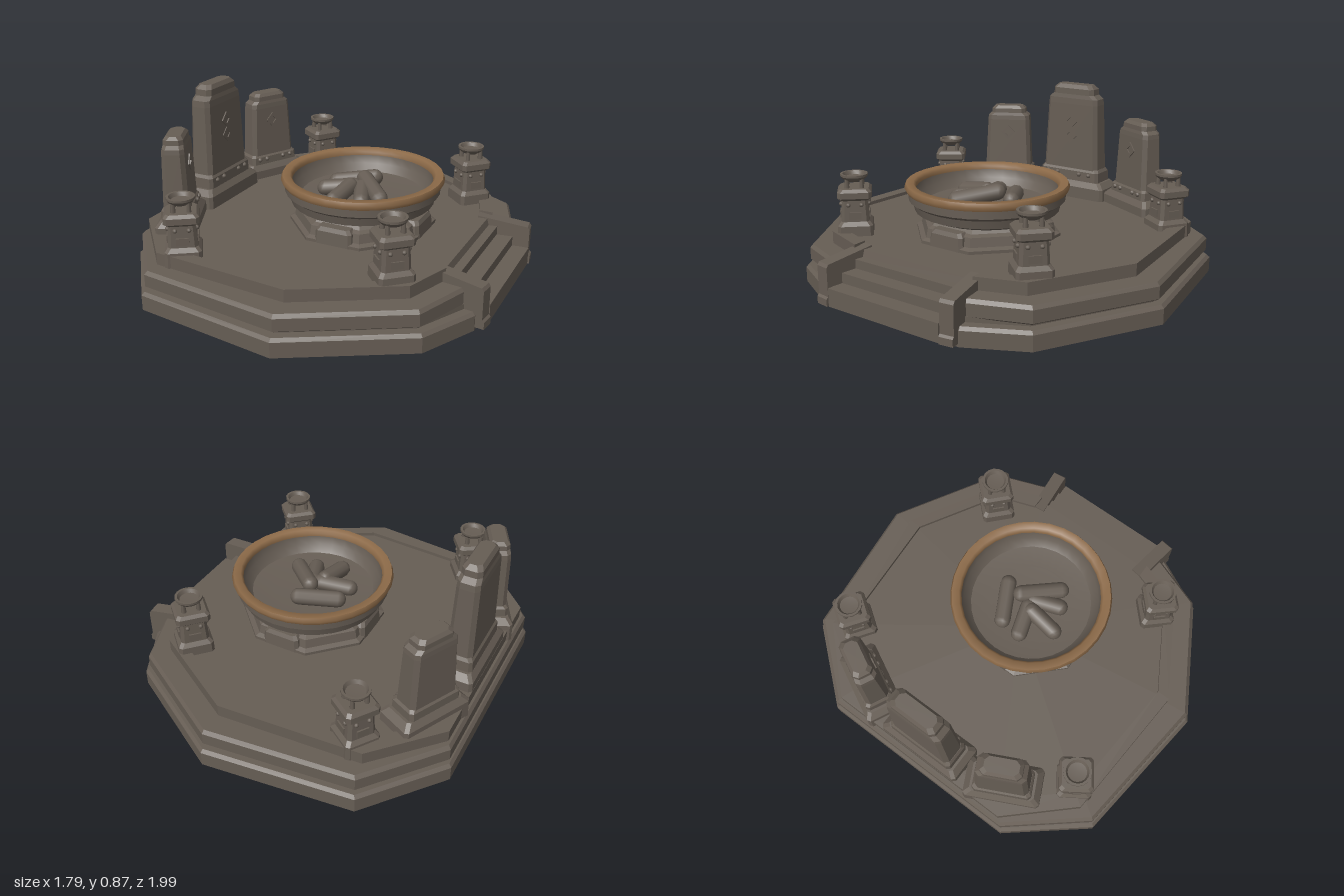
import * as THREE from 'three';
import { toCreasedNormals } from 'three/addons/utils/BufferGeometryUtils.js';

const stone = new THREE.MeshStandardMaterial({ color: 0x665d54 });
stone.name = 'stone';
const bronze = new THREE.MeshStandardMaterial({ color: 0x8c6a48 });
bronze.name = 'bronze';

function add(parent, name, geometry, x = 0, y = 0, z = 0, material = stone) {
  const mesh = new THREE.Mesh(geometry, material);
  mesh.name = name;
  mesh.position.set(x, y, z);
  parent.add(mesh);
  return mesh;
}

function group(parent, name, x, y, z, yaw = 0) {
  const g = new THREE.Group();
  g.name = name;
  g.position.set(x, y, z);
  g.rotation.y = yaw;
  parent.add(g);
  return g;
}

// Flat-faced solid through stacked rings of [x, y, z], closed at both ends
function loft(rings) {
  const pos = [];
  const tri = (a, b, c) => pos.push(...a, ...b, ...c);
  const n = rings[0].length;
  const top = rings[rings.length - 1];
  for (let i = 0; i < n; i++) {
    const j = (i + 1) % n;
    for (let k = 0; k < rings.length - 1; k++) {
      const a = rings[k], b = rings[k + 1];
      tri(a[i], a[j], b[j]);
      tri(a[i], b[j], b[i]);
    }
    tri([0, rings[0][0][1], 0], rings[0][j], rings[0][i]);
    tri([0, top[0][1], 0], top[i], top[j]);
  }
  const g = new THREE.BufferGeometry();
  g.setAttribute('position', new THREE.Float32BufferAttribute(pos, 3));
  g.computeVertexNormals();
  return g;
}

// Half outlines run left to right along +z and are mirrored to -z
const mirrored = half => [...half, ...half.slice().reverse().map(([x, z]) => [x, -z])];
const slab = (half, levels) =>
  loft(levels.map(([y, s]) => mirrored(half).map(([x, z]) => [x * s, y, z * s])));

// Block with chamfered upright corners, levels are [y, half width, half depth]
function block(levels, c = 0.015) {
  return loft(levels.map(([y, w, d]) => [
    [-w, d - c], [-w + c, d], [w - c, d], [w, d - c],
    [w, -d + c], [w - c, -d], [-w + c, -d], [-w, -d + c],
  ].map(([x, z]) => [x, y, z])));
}

const lathe = (points, segments, crease = 0.6) => toCreasedNormals(
  new THREE.LatheGeometry(points.map(p => new THREE.Vector2(...p)), segments), crease);

function shapeOf(points) {
  return new THREE.Shape(points.map(p => new THREE.Vector2(...p)));
}

function buildPlatform(root) {
  const base = [[-0.9, 0.54], [-0.6, 0.905], [0.14, 0.995], [0.7, 0.675], [0.84, 0.4]];
  const middle = [[-0.885, 0.53], [-0.59, 0.885], [0.14, 0.97], [0.68, 0.66], [0.78, 0.39], [0.66, 0.3]];
  const upper = [[-0.86, 0.5], [-0.58, 0.8], [0.13, 0.85], [0.6, 0.58], [0.68, 0.35]];
  const inner = [[-0.78, 0.47], [-0.54, 0.735], [0.13, 0.785], [0.54, 0.55], [0.61, 0.35]];
  add(root, 'baseTier', slab(base, [[0, 1], [0.075, 1], [0.09, 0.985]]));
  add(root, 'shadowGroove', slab(base, [[0.085, 0.94], [0.115, 0.94]]));
  add(root, 'middleTier', slab(middle, [[0.105, 0.985], [0.115, 1], [0.175, 1], [0.192, 0.985]]));
  add(root, 'floor', slab(upper, [[0.185, 1], [0.235, 0.98]]));
  // Low kerb around the floor, open at the stairs
  const flip = ([x, z]) => [x, -z];
  const outerRun = mirrored(upper.slice().reverse()).map(flip);
  const innerRun = mirrored(inner.slice().reverse()).reverse().map(flip);
  const kerb = new THREE.ExtrudeGeometry(shapeOf([...outerRun, ...innerRun]),
    { depth: 0.063, bevelEnabled: false });
  kerb.rotateX(-Math.PI / 2);
  add(root, 'kerb', kerb, 0, 0.19, 0);
}

function buildStairs(root) {
  const stairs = group(root, 'stairs', 0, 0, 0);
  [[0.72, 0.2], [0.8, 0.155], [0.885, 0.105]].forEach(([x, top]) =>
    add(stairs, 'step', new THREE.BoxGeometry(x - 0.58, top - 0.015, 0.65), (x + 0.58) / 2, (top + 0.015) / 2, 0));
  const profile = [[0, 0.1], [0, 0.245], [0.06, 0.238], [0.255, 0.215], [0.265, 0.2],
    [0.265, 0.06], [0.275, 0.05], [0.275, 0.015], [0.15, 0.015]];
  for (const side of [1, -1]) {
    const rail = new THREE.ExtrudeGeometry(shapeOf(profile), { depth: 0.07, bevelEnabled: false });
    rail.translate(0, 0, -0.035);
    add(stairs, 'stairRail', rail, 0.615, 0, side * 0.33).rotation.y = -side * 0.13;
  }
}

function buildFirePit(root) {
  const pit = group(root, 'firePit', 0.1, 0, -0.004);
  add(pit, 'pitPlinth', lathe([[0, 0.22], [0.37, 0.22], [0.37, 0.25], [0.345, 0.26], [0.335, 0.305],
    [0.31, 0.315], [0.28, 0.35], [0, 0.35]], 8, 0.2)).rotation.y = Math.PI / 8;
  for (let i = 0; i < 4; i++) {
    const foot = group(pit, 'plinthFoot', 0, 0, 0, i * Math.PI / 2);
    add(foot, 'footBlock', block([[0.23, 0.1, 0.05], [0.3, 0.095, 0.045], [0.32, 0.08, 0.035]]), 0, 0, 0.295);
  }
  add(pit, 'bowl', lathe([[0.22, 0.31], [0.3, 0.335], [0.36, 0.36], [0.37, 0.4], [0.39, 0.415], [0.39, 0.465],
    [0.355, 0.465], [0.345, 0.42], [0.31, 0.385], [0.2, 0.372], [0, 0.38]], 32));
  add(pit, 'bowlRim', lathe([[0.355, 0.455], [0.4, 0.455], [0.41, 0.475], [0.402, 0.494],
    [0.365, 0.494], [0.353, 0.48], [0.355, 0.455]], 32, 0.9), 0, 0, 0, bronze);
  // Logs: start x, z, end x, z, height at each end
  [[-0.18, -0.05, 0.01, -0.15, 0.4, 0.42], [-0.02, -0.06, 0.14, 0.1, 0.445, 0.41],
    [-0.05, 0.03, -0.07, 0.2, 0.43, 0.4], [-0.19, 0.06, -0.03, 0.01, 0.4, 0.42],
    [0.0, 0.0, 0.06, 0.15, 0.42, 0.4]].forEach(([x0, z0, x1, z1, y0, y1]) => {
    const a = new THREE.Vector3(x0, y0, z0), b = new THREE.Vector3(x1, y1, z1);
    const dir = b.clone().sub(a);
    const log = add(pit, 'log', new THREE.CapsuleGeometry(0.042, dir.length() - 0.02, 4, 10));
    log.position.copy(a).add(b).multiplyScalar(0.5);
    log.quaternion.setFromUnitVectors(new THREE.Vector3(0, 1, 0), dir.normalize());
  });
}

// Standing slab whose carved face looks along its local +z
function buildStele(root, x, z, yaw, w, height, plinthTop, diamonds) {
  const stele = group(root, 'stele', x, 0, z, yaw);
  const h = height - plinthTop;
  const at = t => plinthTop + h * t;
  add(stele, 'stelePlinth', block([[0.19, w + 0.06, 0.1], [plinthTop - 0.03, w + 0.055, 0.098],
    [plinthTop, w + 0.025, 0.075]]));
  add(stele, 'steleFoot', block([[plinthTop - 0.01, w + 0.012, 0.075], [at(0.1), w + 0.01, 0.072], [at(0.13), w, 0.06]]));
  add(stele, 'steleBody', block([[at(0.05), w, 0.064], [at(0.8), w * 0.9, 0.056], [at(0.86), w * 0.88, 0.054],
    [at(0.9), w * 0.73, 0.05], [at(0.96), w * 0.72, 0.049], [at(1), w * 0.6, 0.036]], 0.02));
  const s = 0.042;
  const diamond = shapeOf([[0, -s], [s, 0], [0, s], [-s, 0]]);
  diamond.holes.push(new THREE.Path([[0, -s / 2], [-s / 2, 0], [0, s / 2], [s / 2, 0]]
    .map(p => new THREE.Vector2(...p))));
  const carving = new THREE.ExtrudeGeometry(diamond, { depth: 0.009, bevelEnabled: false });
  for (let i = 0; i < diamonds; i++) {
    add(stele, 'carvedDiamond', carving, 0, at(0.62) - i * 0.08, 0.055).rotation.x = -0.02;
  }
  for (const sx of [-0.75, -0.4, 0.4, 0.75]) {
    add(stele, 'stud', new THREE.SphereGeometry(0.013, 8, 6), sx * w, at(0.07), 0.073);
  }
}

function buildBrazier(root, x, z, yaw, lift) {
  const b = group(root, 'brazier', x, lift, z, yaw);
  add(b, 'brazierFoot', block([[0.19, 0.088, 0.088], [0.265, 0.086, 0.086], [0.285, 0.07, 0.07]]));
  add(b, 'brazierShaft', block([[0.27, 0.07, 0.07], [0.4, 0.064, 0.064]]));
  add(b, 'brazierCap', block([[0.392, 0.068, 0.068], [0.405, 0.083, 0.083], [0.435, 0.083, 0.083], [0.45, 0.07, 0.07]]));
  for (let i = 0; i < 4; i++) {
    const face = group(b, 'brazierFace', 0, 0, 0, i * Math.PI / 2);
    add(face, 'panel', new THREE.BoxGeometry(0.06, 0.035, 0.015), 0, 0.315, 0.067);
    for (const sx of [-1, 1]) {
      add(face, 'stud', new THREE.SphereGeometry(0.011, 8, 6), sx * 0.032, 0.37, 0.067);
    }
    add(face, 'dishLeg', new THREE.CylinderGeometry(0.01, 0.013, 0.05, 6), 0.036, 0.47, 0.036);
  }
  add(b, 'dish', lathe([[0, 0.475], [0.035, 0.478], [0.058, 0.492], [0.068, 0.505], [0.068, 0.516],
    [0.056, 0.516], [0.046, 0.498], [0, 0.494]], 16));
}

export function createModel() {
  const root = new THREE.Group();
  root.name = 'ceremonialFirePit';
  buildPlatform(root);
  buildStairs(root);
  buildFirePit(root);
  buildStele(root, -0.76, 0, Math.PI / 2, 0.175, 0.87, 0.33, 2);
  for (const side of [1, -1]) {
    buildStele(root, -0.71, side * 0.425, Math.PI / 2 + side * 0.46, 0.135, 0.715, 0.31, 1);
    buildBrazier(root, -0.495, side * 0.7, side * 0.6, 0);
    buildBrazier(root, 0.49, side * 0.525, side * 0.75, 0.02);
  }
  return root;
}
